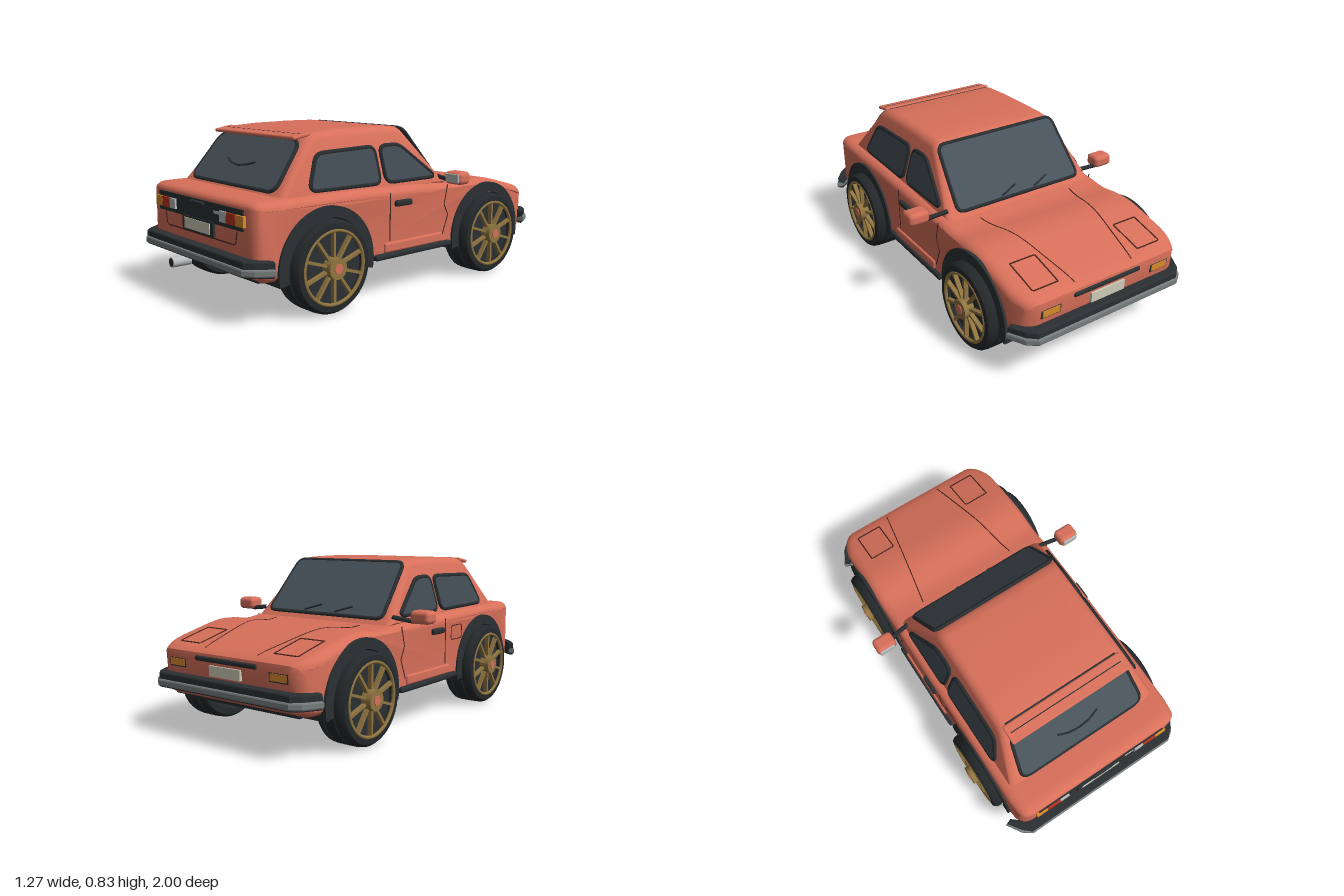
import * as THREE from 'three';
import { toCreasedNormals } from 'three/addons/utils/BufferGeometryUtils.js';
import { RoundedBoxGeometry } from 'three/addons/geometries/RoundedBoxGeometry.js';

const C = { paint: 0xd8705a, dark: 0x2b3033, tyre: 0x24282a, glass: 0x48525a, gold: 0x8f7440, grey: 0x777d7d,
  amber: 0xd98a2b, red: 0xb8321f, cream: 0xcfccb8, silver: 0xb8bcbc, line: 0x4a2620 };

export function createModel() {
  const car = new THREE.Group();
  car.name = 'car';
  const mats = {};
  const mat = (c) => (mats[c] ??= new THREE.MeshStandardMaterial({ color: C[c] }));
  const add = (name, geo, c, parent = car) => {
    const m = new THREE.Mesh(geo, mat(c));
    m.name = name;
    parent.add(m);
    return m;
  };
  const box = (name, c, w, h, d, x, y, z, parent) => {
    const m = add(name, new THREE.BoxGeometry(w, h, d), c, parent);
    m.position.set(x, y, z);
    return m;
  };
  // Mirrored copy across x = 0 with the winding put right
  const flip = (geo) => {
    const g = (geo.index ? geo.toNonIndexed() : geo.clone()).scale(-1, 1, 1);
    for (const a of Object.values(g.attributes)) {
      const n = a.itemSize, arr = a.array;
      for (let i = 0; i < arr.length; i += 3 * n)
        for (let k = 0; k < n; k++) [arr[i + k], arr[i + 2 * n + k]] = [arr[i + 2 * n + k], arr[i + k]];
    }
    return g;
  };
  const pair = (name, geo, c) => {
    add(name + 'Right', geo, c);
    add(name + 'Left', flip(geo), c);
  };
  const bend = (geo, rule) => {
    const p = geo.attributes.position, v = new THREE.Vector3();
    for (let i = 0; i < p.count; i++) {
      rule(v.fromBufferAttribute(p, i));
      p.setXYZ(i, v.x, v.y, v.z);
    }
    return geo;
  };
  const rod = (pts, r, closed = false) => {
    const path = new THREE.CurvePath();
    const v = pts.map((p) => new THREE.Vector3(...p));
    if (closed) v.push(v[0].clone());
    for (let i = 1; i < v.length; i++) path.add(new THREE.LineCurve3(v[i - 1], v[i]));
    return new THREE.TubeGeometry(path, 12 * (v.length - 1), r, 5, false);
  };
  const rounded = (pts, r) => {
    const s = new THREE.Shape(), n = pts.length;
    pts.map((p) => new THREE.Vector2(...p)).forEach((p, i, all) => {
      const toward = (q) => p.clone().add(q.clone().sub(p).setLength(r));
      const a = toward(all[(i + n - 1) % n]), b = toward(all[(i + 1) % n]);
      i ? s.lineTo(a.x, a.y) : s.moveTo(a.x, a.y);
      s.quadraticCurveTo(p.x, p.y, b.x, b.y);
    });
    s.closePath();
    return s;
  };
  // Side profile (z, y) extruded across the car with rounded edges
  const hull = (shape, half, size, thick, rule) => {
    const depth = 2 * (half - thick);
    const g = new THREE.ExtrudeGeometry(shape, { depth, steps: 6, curveSegments: 16, bevelSize: size,
      bevelThickness: thick, bevelOffset: -size, bevelSegments: 5 });
    g.translate(0, 0, -depth / 2).rotateY(-Math.PI / 2);
    return toCreasedNormals(bend(g, rule), 0.6);
  };

  // Lower body with wheel arches cut from its profile
  const top = new THREE.SplineCurve([[-0.95, 0.42], [-0.9, 0.445], [-0.75, 0.485], [-0.6, 0.52], [-0.5, 0.524],
    [-0.38, 0.512], [-0.25, 0.525], [0, 0.54], [0.4, 0.55], [0.88, 0.552]].map((p) => new THREE.Vector2(...p))).getPoints(50);
  const hoodY = (z) => {
    const i = Math.max(1, top.findIndex((p) => p.x >= z)), a = top[i - 1], b = top[i];
    return a.y + ((b.y - a.y) * (z - a.x)) / (b.x - a.x);
  };
  const W = 0.48, AX = 0.56, AY = 0.225;
  const body = new THREE.Shape();
  const a0 = Math.asin(-0.035 / 0.23);
  body.moveTo(-0.92, 0.21);
  body.lineTo(-0.88, 0.19);
  for (const z of [-AX, AX]) body.absarc(z, AY, 0.23, Math.PI - a0, a0, true);
  body.lineTo(0.88, 0.19);
  body.lineTo(0.925, 0.215);
  body.lineTo(0.94, 0.3);
  body.lineTo(0.938, 0.52);
  body.quadraticCurveTo(0.935, 0.55, 0.88, 0.552);
  [...top].reverse().slice(1).forEach((p) => body.lineTo(p.x, p.y));
  body.lineTo(-0.953, 0.39);
  body.lineTo(-0.94, 0.28);
  body.closePath();
  add('body', hull(body, W, 0.04, 0.055, (v) => {
    const t = Math.max(0, (Math.abs(v.z) - 0.8) / 0.15);
    v.x *= 1 - (v.z < 0 ? 0.11 : 0.05) * t * t;
  }), 'paint');
  box('underbody', 'tyre', 0.72, 0.25, 1.72, 0, 0.295, 0);
  box('frontLip', 'dark', 0.74, 0.03, 0.05, 0, 0.19, -0.83);

  // Cabin, leaning in toward the roof
  const sideX = (y) => 0.435 - 0.3 * (y - 0.55);
  const cabin = new THREE.Shape([[-0.29, 0.517], [0.8, 0.519], [0.585, 0.79], [0.56, 0.81], [0.52, 0.822], [0.4, 0.829],
    [0.2, 0.832], [0.03, 0.83], [-0.01, 0.825], [-0.035, 0.81]].map((p) => new THREE.Vector2(...p)));
  add('cabin', hull(cabin, 0.435, 0.035, 0.045, (v) => { v.x *= sideX(v.y) / 0.435; }), 'paint');

  // Windows: glass with a rubber seal round the edge
  const pane = (pts, r, place) => {
    const s = rounded(pts, r);
    const glass = new THREE.ExtrudeGeometry(s, { depth: 0.012, bevelEnabled: false, curveSegments: 6 });
    const seal = rod(s.getPoints(6).slice(0, -1).map((p) => [p.x, p.y, 0.006]), 0.011, true);
    return [glass, seal].map(place);
  };
  const onSide = (g) => bend(g.rotateY(-Math.PI / 2), (v) => { v.x -= sideX(v.y); });
  const sideWindows = {
    rearSideWindow: [[0.625, 0.57], [0.55, 0.73], [0.19, 0.74], [0.19, 0.565]],
    doorWindow: [[0.15, 0.565], [0.15, 0.74], [0.02, 0.74], [-0.2, 0.565]],
  };
  for (const [name, pts] of Object.entries(sideWindows)) {
    const [glass, seal] = pane(pts, 0.04, onSide);
    pair(name, glass, 'glass');
    pair(name + 'Seal', seal, 'dark');
  }
  const onRear = (g) => g.rotateX(-0.67).translate(0, 0.55, 0.775);
  const onFront = (g) => g.rotateX(-0.71).rotateY(Math.PI).translate(0, 0.54, -0.27);
  const [rearGlass, rearSeal] = pane([[-0.365, 0.02], [0.365, 0.02], [0.33, 0.3], [-0.33, 0.3]], 0.06, onRear);
  add('rearWindow', rearGlass, 'glass');
  add('rearWindowSeal', rearSeal, 'dark');
  const [frontGlass, frontSeal] = pane([[-0.375, 0.01], [0.375, 0.01], [0.35, 0.36], [-0.35, 0.36]], 0.04, onFront);
  add('windscreen', frontGlass, 'glass');
  add('windscreenSeal', frontSeal, 'dark');

  // Wipers
  add('rearWiper', onRear(rod([[-0.12, 0.15, 0.02], [-0.06, 0.125, 0.024], [0, 0.117, 0.024], [0.06, 0.125, 0.024],
    [0.12, 0.15, 0.02]], 0.005)), 'dark');
  for (const x of [0.18, -0.02])
    add('frontWiper', onFront(rod([[x, 0.06, 0.02], [x - 0.1, 0.02, 0.02]], 0.005)), 'dark');

  // Roof spoiler
  box('spoilerBase', 'dark', 0.64, 0.02, 0.06, 0, 0.808, 0.56);
  const spoiler = add('spoiler', new RoundedBoxGeometry(0.68, 0.018, 0.1, 2, 0.008), 'paint');
  spoiler.position.set(0, 0.808, 0.59);
  spoiler.rotation.x = 0.17;

  // Wheels
  const tyre = new THREE.LatheGeometry([[0.172, 0], [0.205, 0], [0.217, 0.015], [0.22, 0.04], [0.214, 0.045], [0.214, 0.052],
    [0.22, 0.057], [0.22, 0.108], [0.214, 0.113], [0.214, 0.12], [0.22, 0.125], [0.217, 0.148], [0.205, 0.163], [0.178, 0.165],
    [0.172, 0.135]].map((p) => new THREE.Vector2(...p)), 40).rotateZ(-Math.PI / 2).translate(0.37, 0, 0);
  const disc = (r, x0, x1, n = 24) =>
    new THREE.CylinderGeometry(r, r, x1 - x0, n).rotateZ(-Math.PI / 2).translate((x0 + x1) / 2, 0, 0);
  for (const [end, z] of [['rear', AX], ['front', -AX]]) for (const s of [1, -1]) {
    const wheel = new THREE.Group();
    wheel.name = end + 'Wheel' + (s > 0 ? 'Left' : 'Right');
    wheel.position.set(0, AY, z);
    wheel.rotation.y = s > 0 ? 0 : Math.PI;
    car.add(wheel);
    add('tyre', toCreasedNormals(tyre, 0.7), 'tyre', wheel);
    add('wheelBack', disc(0.174, 0.375, 0.505, 32), 'dark', wheel);
    add('rim', new THREE.TorusGeometry(0.172, 0.009, 8, 40).rotateY(Math.PI / 2).translate(0.53, 0, 0), 'gold', wheel);
    for (let i = 0; i < 10; i++) {
      const spoke = new THREE.BoxGeometry(0.022, 0.14, 0.013).translate(0.522, 0.105, 0);
      add('spoke', spoke.rotateX((i * Math.PI) / 5), 'gold', wheel);
    }
    add('hub', disc(0.05, 0.5, 0.558), 'gold', wheel);
    add('hubCap', disc(0.025, 0.55, 0.562, 6), 'paint', wheel);
  }

  // Dark wheel arch trims
  for (const z of [AX, -AX]) {
    const s = new THREE.Shape();
    s.absarc(z, AY, 0.278, -0.2, Math.PI + 0.2, false);
    s.absarc(z, AY, 0.226, Math.PI + 0.2, -0.2, true);
    const arch = new THREE.ExtrudeGeometry(s, { depth: 0.13, curveSegments: 32, bevelEnabled: false });
    pair(z > 0 ? 'rearArch' : 'frontArch', arch.rotateY(-Math.PI / 2).translate(-0.36, 0, 0), 'dark');
  }

  // Sills, doors and handles
  pair('sillTrim', new RoundedBoxGeometry(0.05, 0.03, 0.54, 2, 0.012).translate(-0.475, 0.21, 0), 'dark');
  pair('sill', new RoundedBoxGeometry(0.03, 0.05, 0.41, 2, 0.01).translate(-0.476, 0.25, 0), 'paint');
  pair('doorRearGap', rod([[-W, 0.52, 0.165], [-W, 0.28, 0.165]], 0.003), 'line');
  pair('doorFrontGap', rod([[-W, 0.52, -0.25], [-W, 0.42, -0.225], [-W, 0.36, -0.255], [-W, 0.26, -0.215]], 0.003), 'line');
  pair('doorHandle', new RoundedBoxGeometry(0.03, 0.03, 0.11, 2, 0.01).translate(-0.485, 0.463, 0.08), 'dark');
  const flap = rounded([[0.225, 0.4], [0.335, 0.4], [0.335, 0.475], [0.225, 0.475]], 0.015);
  add('fuelFlap', rod(flap.getPoints(4).slice(0, -1).map((p) => [-W, p.y, p.x]), 0.003, true), 'line');

  // Door mirrors
  pair('mirrorShell', new RoundedBoxGeometry(0.11, 0.065, 0.085, 3, 0.022).translate(-0.578, 0.57, -0.212), 'paint');
  pair('mirrorGlass', new RoundedBoxGeometry(0.085, 0.045, 0.01, 2, 0.004).translate(-0.58, 0.57, -0.17), 'silver');
  pair('mirrorArm', rod([[-0.42, 0.56, -0.24], [-0.54, 0.545, -0.225]], 0.012), 'dark');

  // Wraparound bumpers with a lighter strip
  const bumper = (name, flat, tip, zTip, turn) => {
    const layer = (y, h, o) => {
      const s = new THREE.Shape([[-tip - o, zTip], [-flat - o, 0.955 + o], [-flat + 0.04, 0.99 + o], [flat - 0.04, 0.99 + o],
        [flat + o, 0.955 + o], [tip + o, zTip], [tip - 0.025, zTip - 0.01], [flat - 0.03, 0.92], [-flat + 0.03, 0.92],
        [-tip + 0.025, zTip - 0.01]].map((p) => new THREE.Vector2(...p)));
      return new THREE.ExtrudeGeometry(s, { depth: h - 0.016, bevelSize: 0.008, bevelThickness: 0.008, bevelOffset: -0.008,
        bevelSegments: 2 }).rotateX(Math.PI / 2).translate(0, y - 0.008, 0).rotateY(turn);
    };
    add(name, layer(0.308, 0.075, 0), 'dark');
    add(name + 'Strip', layer(0.275, 0.035, 0.008), 'grey');
  };
  bumper('rearBumper', 0.48, 0.53, 0.885, 0);
  bumper('frontBumper', 0.46, 0.505, 0.875, Math.PI);

  // Tail: lamp panel, lamps, plate, lid seam, exhaust
  box('lampPanel', 'dark', 0.76, 0.095, 0.012, 0, 0.467, 0.939);
  for (const s of [1, -1]) {
    for (const [name, c, x, w] of [['turnLamp', 'amber', 0.365, 0.062], ['brakeLamp', 'red', 0.295, 0.075],
      ['reverseLamp', 'silver', 0.23, 0.052]]) box(name, c, w, 0.05, 0.02, s * x, 0.465, 0.945);
  }
  box('badgeStrip', 'silver', 0.05, 0.012, 0.012, 0.17, 0.475, 0.943);
  add('lidHandle', new RoundedBoxGeometry(0.12, 0.02, 0.025, 2, 0.008).translate(0, 0.498, 0.945), 'dark');
  box('rearPlateFrame', 'dark', 0.28, 0.07, 0.02, 0, 0.39, 0.941);
  box('rearPlate', 'cream', 0.23, 0.052, 0.01, 0, 0.39, 0.95);
  add('lidSeam', rod([[-0.325, 0.415, 0.939], [-0.31, 0.35, 0.94], [0.31, 0.35, 0.94], [0.325, 0.415, 0.939]], 0.004), 'line');
  const pipe = add('exhaust', new THREE.CylinderGeometry(0.026, 0.026, 0.1, 20), 'silver');
  pipe.position.set(-0.235, 0.17, 0.92);
  pipe.rotation.x = Math.PI / 2;
  const bore = add('exhaustBore', new THREE.CircleGeometry(0.021, 20), 'tyre');
  bore.position.set(-0.235, 0.17, 0.9715);

  // Nose: grille slot, plate, turn lamps
  add('grilleSlot', new RoundedBoxGeometry(0.4, 0.025, 0.03, 2, 0.01).translate(0, 0.395, -0.945), 'dark');
  box('frontPlate', 'cream', 0.2, 0.05, 0.015, 0, 0.345, -0.953);
  for (const s of [1, -1]) {
    box('turnLampFrame', 'dark', 0.11, 0.044, 0.02, s * 0.325, 0.362, -0.942);
    box('frontTurnLamp', 'amber', 0.095, 0.032, 0.02, s * 0.325, 0.362, -0.946);
  }

  // Hood seams and pop-up lamp covers
  const onHood = (x, z) => [x, hoodY(z), z];
  const seam = Array.from({ length: 13 }, (_, i) => onHood(-0.17 - i * 0.0092, -0.92 + i * 0.05));
  pair('hoodSeam', rod(seam, 0.003), 'line');
  const cover = [[-0.24, -0.885], [-0.38, -0.885], [-0.38, -0.8], [-0.38, -0.71], [-0.24, -0.71], [-0.24, -0.8]];
  pair('lampCover', rod(cover.map((p) => onHood(...p)), 0.004, true), 'line');
  return car;
}
